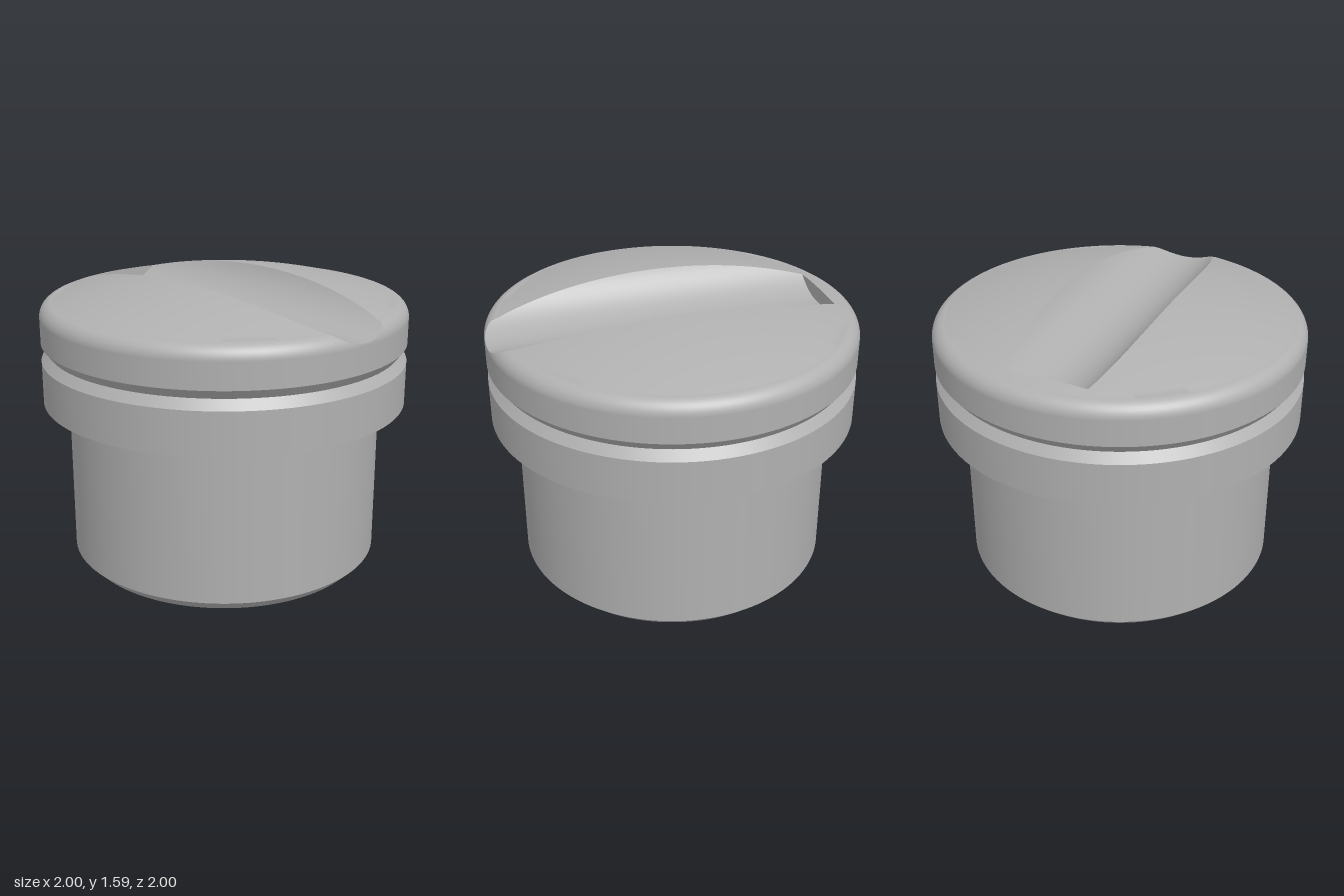
import * as THREE from 'three';

const grey = new THREE.MeshStandardMaterial({ color: 0xb0b0b0 });
grey.name = 'plain grey';

// Shallow dome that ends in a rounded rim
const R1 = 0.92, FILLET = 0.08, RIM_Y = 1.395, APEX = 1.609, BEND = 0.159;
function topY(r) {
  if (r <= R1) return APEX - BEND * r * r;
  return RIM_Y + FILLET * Math.sqrt(Math.max(0, 1 - ((r - R1) / FILLET) ** 2));
}

// Round-bottomed finger groove along x, stopped by a flat wall at END_X
const GR = 0.335, GY = 1.745, END_X = -0.85;
const grooveY = z => GY - Math.sqrt(Math.max(0, GR * GR - z * z));
const inGroove = (x, z) =>
  x >= END_X - 1e-9 && Math.abs(z) < GR && grooveY(z) < topY(Math.hypot(x, z));

// Largest value for which a test still holds
function bisect(lo, hi, test) {
  for (let i = 0; i < 45; i++) {
    const mid = (lo + hi) / 2;
    if (test(mid)) lo = mid; else hi = mid;
  }
  return lo;
}
const grooveEdge = a => bisect(0, 1, r => inGroove(r * Math.cos(a), r * Math.sin(a)));

// Grid surface; at(i, j) returns [position, normal]
function surface(ni, nj, at) {
  const pos = [], nor = [], idx = [];
  for (let i = 0; i <= ni; i++) {
    for (let j = 0; j <= nj; j++) {
      const [p, n] = at(i, j);
      pos.push(...p);
      nor.push(...new THREE.Vector3(...n).normalize().toArray());
      if (i < ni && j < nj) {
        const a = i * (nj + 1) + j, b = a + nj + 1;
        idx.push(a, b, a + 1, b, b + 1, a + 1);
      }
    }
  }
  const g = new THREE.BufferGeometry();
  g.setAttribute('position', new THREE.Float32BufferAttribute(pos, 3));
  g.setAttribute('normal', new THREE.Float32BufferAttribute(nor, 3));
  g.setIndex(idx);
  return g;
}

export function createModel() {
  const model = new THREE.Group();
  model.name = 'plugCap';
  function add(name, geometry, parent = model) {
    const mesh = new THREE.Mesh(geometry, grey);
    mesh.name = name;
    parent.add(mesh);
    return mesh;
  }

  // Turned body: one band per profile step keeps the edges sharp
  const profile = [
    ['ceiling', 0, 0.81], ['innerWall', 0.75, 0.81], ['bottomRim', 0.75, 0],
    ['bottomChamfer', 0.80, 0], ['plugWall', 0.86, 0.06], ['shoulder', 0.86, 0.92],
    ['flange', 1, 0.92], ['seamLower', 1, 1.155], ['seamUpper', 0.962, 1.205],
    ['headWall', 1, 1.255], ['end', 1, RIM_Y],
  ];
  for (let i = 0; i < profile.length - 1; i++) {
    const [name, r0, y0] = profile[i], [, r1, y1] = profile[i + 1];
    add(name, new THREE.LatheGeometry(
      [new THREE.Vector2(r0, y0), new THREE.Vector2(r1, y1)], 144));
  }

  // Angles around the top, including the two corners of the groove's end wall
  const cornerZ = bisect(0, 0.33, z => inGroove(END_X, z));
  const cornerA = Math.atan2(cornerZ, END_X);
  const half = [cornerA];
  for (let i = 0; i <= 144; i++) half.push(i * Math.PI / 144);
  half.sort((a, b) => a - b);
  const angles = [...half.slice(1).reverse().map(a => -a), ...half];
  const edges = angles.map(grooveEdge);

  // Domed top from the groove's edge out to the rounded rim
  const D = 12, F = 10;
  add('domedTop', surface(angles.length - 1, D + F, (i, j) => {
    const a = angles[i], rho = edges[i], c = Math.cos(a), s = Math.sin(a);
    let r, y, nr, ny;
    if (j <= D) {
      r = Math.max(rho, rho + (R1 - rho) * j / D);
      y = topY(r);
    } else {
      const p0 = Math.asin(Math.min(1, (Math.max(rho, R1) - R1) / FILLET));
      const p = p0 + (Math.PI / 2 - p0) * (j - D) / F;
      r = R1 + FILLET * Math.sin(p);
      y = RIM_Y + FILLET * Math.cos(p);
    }
    if (r <= R1) { nr = 2 * BEND * r; ny = 1; } else { nr = r - R1; ny = y - RIM_Y; }
    return [[r * c, y, r * s], [nr * c, ny, nr * s]];
  }));

  // Groove floor, spanning between mirrored points of its edge
  const K = 32;
  const floorAngles = half.filter(a => a <= cornerA);
  add('grooveFloor', surface(floorAngles.length - 1, K, (i, k) => {
    const a = floorAngles[i], rho = grooveEdge(a);
    const z = rho * Math.sin(a) * (2 * k / K - 1), y = grooveY(z);
    return [[rho * Math.cos(a), y, z], [0, GY - y, -z]];
  }));

  // Flat wall closing the groove
  add('grooveEndWall', surface(1, K, (i, k) => {
    const z = cornerZ * (2 * k / K - 1);
    return [[END_X, i ? topY(Math.hypot(END_X, z)) : grooveY(z), z], [1, 0, 0]];
  }));

  // Hollow rectangular post hanging inside the plug
  const post = new THREE.Group();
  post.name = 'hollowPost';
  model.add(post);
  const x0 = -0.65, x1 = -0.01, w = 0.225, t = 0.11, h = 0.81;
  function wall(name, sx, sz, x, z) {
    add(name, new THREE.BoxGeometry(sx, h, sz), post).position.set(x, h / 2, z);
  }
  wall('postSideOuter', t, 2 * w - 2 * t, x0 + t / 2, 0);
  wall('postSideInner', t, 2 * w - 2 * t, x1 - t / 2, 0);
  wall('postFront', x1 - x0, t, (x0 + x1) / 2, w - t / 2);

  // Rear post wall with a small notch in its lower edge
  const notched = new THREE.Shape([
    [x0, 0], [-0.25, 0], [-0.22, 0.04], [-0.19, 0], [x1, 0], [x1, h], [x0, h],
  ].map(p => new THREE.Vector2(...p)));
  add('postBack', new THREE.ExtrudeGeometry(notched, { depth: t, bevelEnabled: false }), post)
    .position.z = -w;

  return model;
}
